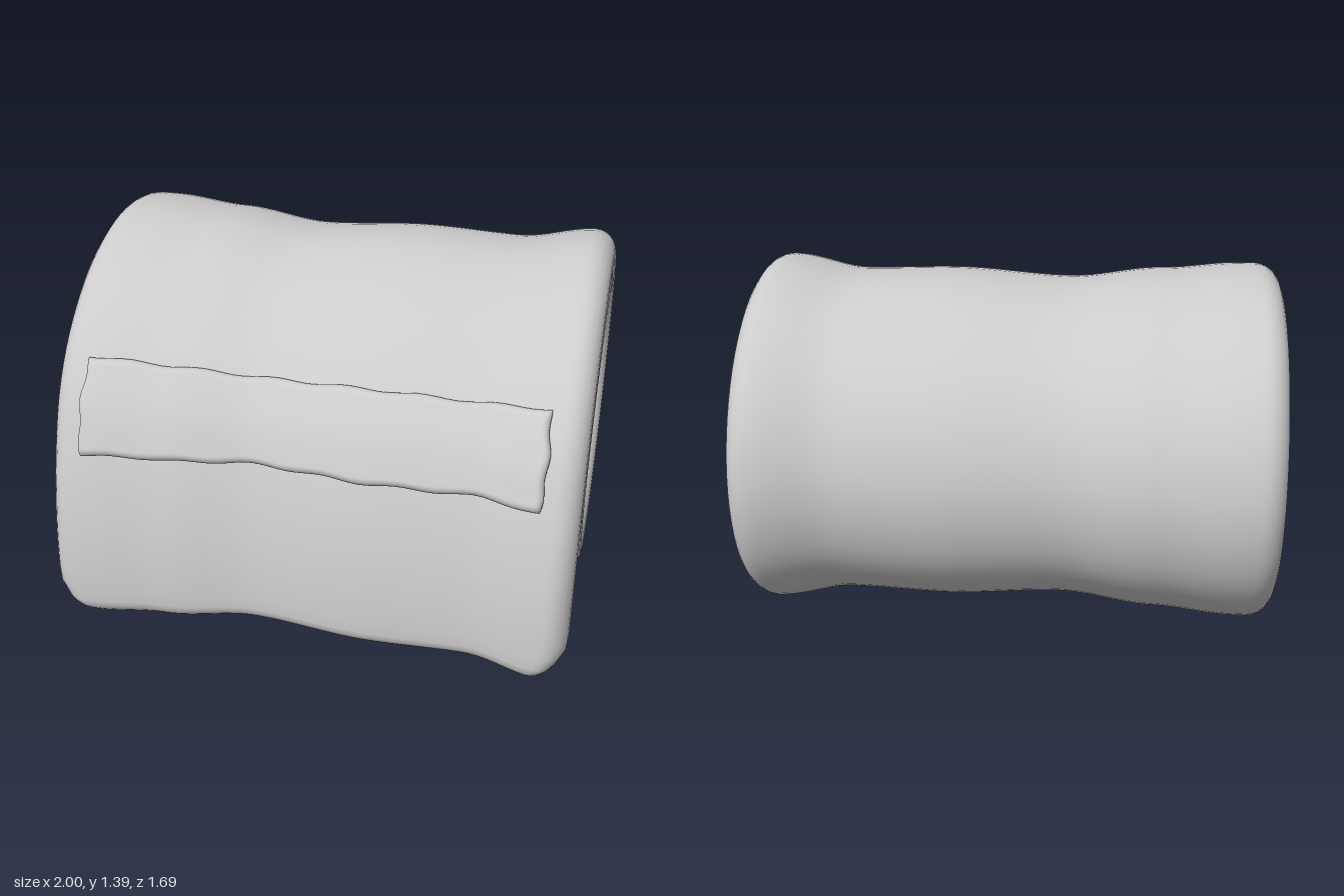
import * as THREE from 'three';
import { mergeVertices } from 'three/addons/utils/BufferGeometryUtils.js';

// Gentle outward/inward waviness of the cloth along its width
const KNOTS = [[-1.1, 0], [-0.85, 0], [-0.55, -0.025], [-0.2, -0.065], [0.25, -0.04], [0.62, -0.05], [0.92, 0], [1.1, 0]];
function wave(x) {
  for (let i = 1; i < KNOTS.length; i++) {
    const [x0, y0] = KNOTS[i - 1], [x1, y1] = KNOTS[i];
    if (x <= x1) return y0 + (y1 - y0) * THREE.MathUtils.smoothstep(x, x0, x1);
  }
  return 0;
}

// Distances along a span: dense, rounded spacing at both ends, even in the middle
function spacing(length, r, steps) {
  const list = [], arc = 6;
  for (let i = 0; i < arc; i++) list.push(r * (1 - Math.cos((i / arc) * Math.PI / 2)));
  for (let i = 0; i <= steps; i++) list.push(r + (length - 2 * r) * i / steps);
  for (let i = arc - 1; i >= 0; i--) list.push(length - r * (1 - Math.cos((i / arc) * Math.PI / 2)));
  return list;
}
const roundOff = (d, r) => (d >= r ? 1 : Math.sqrt(Math.max(0, 1 - (1 - d / r) ** 2)));

// Padded sheet: a rounded cross-section swept along a path of [z, y] points
function sheetGeometry({ points, width, half, round, steps, chamfer, inner, ripple = 0 }) {
  const curve = new THREE.CatmullRomCurve3(points.map(([z, y]) => new THREE.Vector3(0, y, z)), false, 'centripetal');
  curve.arcLengthDivisions = 600;
  const length = curve.getLength();
  const along = spacing(length, round, steps), across = spacing(2, round / width, 48);
  const n = across.length, ring = 2 * n;
  const pos = [], index = [];
  along.forEach((d, i) => {
    const u = THREE.MathUtils.clamp(d / length, 0, 1);
    const p = curve.getPointAt(u), t = curve.getTangentAt(u);
    const end = Math.min(d, length - d);
    const w = width - chamfer * Math.max(0, 1 - end / 0.16) ** 1.5;
    const thick = half(d) * roundOff(end, round);
    for (let j = 0; j < ring; j++) {
      const outer = j < n;
      const a = across[outer ? j : ring - 1 - j];
      const edge = roundOff(Math.min(a, 2 - a), round / width);
      const x = (a - 1) * w;
      const off = outer ? thick * edge + wave(x) : -thick * edge + inner * wave(x);
      // the sides close on a shared line, so both faces meet at the rim
      const rim = (1 + inner) / 2 * wave(x);
      const o = edge < 1e-4 || thick < 1e-4 ? rim : off;
      const slide = -0.6 * wave(x) * Math.max(0, 1 - d / 0.3) + ripple * Math.sin(x * 23 + 2 * u) * (1 - 2 * u);
      pos.push(x + ripple * Math.sin(u * 14) * (a - 1), p.y - o * t.z + slide * t.y, p.z + o * t.y + slide * t.z);
      if (i < along.length - 1) {
        const k = (j + 1) % ring, A = i * ring + j, B = i * ring + k;
        index.push(A, B, B + ring, A, B + ring, A + ring);
      }
    }
  });
  const raw = new THREE.BufferGeometry();
  raw.setAttribute('position', new THREE.Float32BufferAttribute(pos, 3));
  raw.setIndex(index);
  const geometry = mergeVertices(raw, 1e-4);
  geometry.computeVertexNormals();
  return geometry;
}

export function createModel() {
  const group = new THREE.Group();
  const cloth = new THREE.MeshStandardMaterial({ color: 0xcccccc });
  cloth.name = 'light grey cloth';

  // Rolled sheet: hanging flap, over the top, round the back, and inside again
  const roll = new THREE.Mesh(sheetGeometry({
    points: [
      [0.735, 0.0], [0.735, 0.2], [0.715, 0.4], [0.665, 0.63], [0.58, 0.86], [0.44, 1.05], [0.21, 1.22],
      [-0.08, 1.3], [-0.35, 1.255], [-0.57, 1.11], [-0.71, 0.9], [-0.755, 0.67], [-0.7, 0.44], [-0.56, 0.27],
      [-0.36, 0.155], [-0.125, 0.12], [0.18, 0.19], [0.4, 0.39], [0.49, 0.655], [0.41, 0.9], [0.2, 1.1],
      [-0.1, 1.19], [-0.35, 1.14], [-0.54, 0.96],
    ],
    width: 1, half: (d) => THREE.MathUtils.lerp(0.113, 0.092, Math.min(1, d / 0.8)),
    round: 0.09, steps: 110, chamfer: 0.1, inner: -0.3,
  }), cloth);
  roll.name = 'rolledSheet';
  group.add(roll);

  // Decorative band on the front of the flap
  const band = new THREE.Mesh(sheetGeometry({
    points: [[0.762, 0.7], [0.685, 0.88], [0.588, 1.03]],
    width: 0.87, half: () => 0.032, round: 0.03, steps: 14, chamfer: 0.012, inner: 1, ripple: 0.005,
  }), cloth);
  band.name = 'frontBand';
  group.add(band);

  return group;
}
